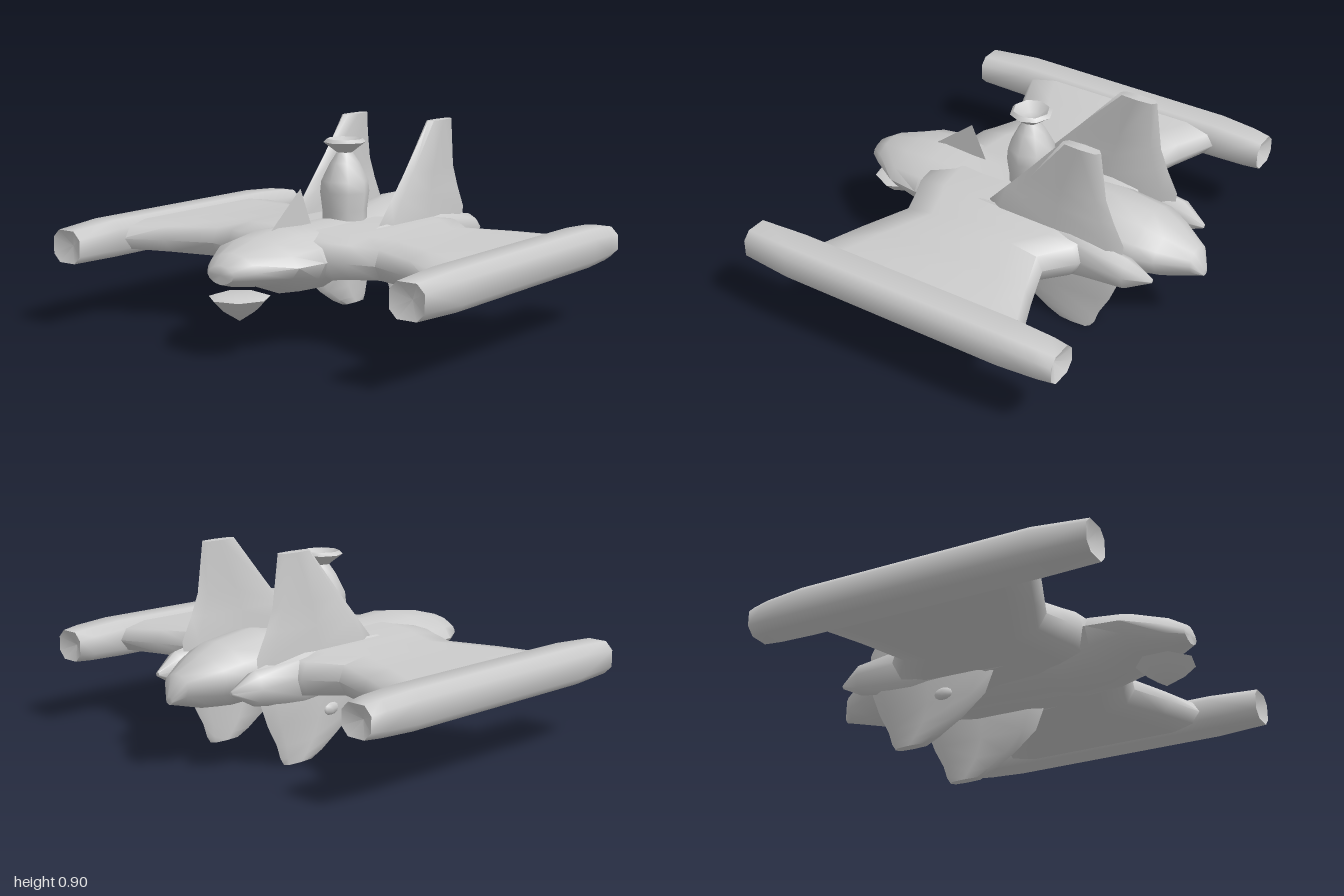
import * as THREE from 'three';
import { toCreasedNormals } from 'three/addons/utils/BufferGeometryUtils.js';

const grey = new THREE.MeshStandardMaterial({ color: 0xcccccc });

// Closed skin through rings of [x, y, z] points; end caps may be dished inwards along x
function loft(rings, dish = 0, crease = 1.1) {
  const n = rings[0].length, pos = rings.flat(2), idx = [];
  for (let r = 0; r < rings.length - 1; r++) {
    for (let i = 0; i < n; i++) {
      const a = r * n + i, b = r * n + (i + 1) % n;
      idx.push(a, b, a + n, b, b + n, a + n);
    }
  }
  [0, rings.length - 1].forEach((r, end) => {
    const c = [0, 1, 2].map(k => rings[r].reduce((s, p) => s + p[k], 0) / n);
    c[0] += end ? -dish : dish;
    const m = pos.length / 3;
    pos.push(...c);
    for (let i = 0; i < n; i++) {
      const a = r * n + i, b = r * n + (i + 1) % n;
      if (end) idx.push(a, b, m); else idx.push(b, a, m);
    }
  });
  // Turn the skin outwards if its volume comes out negative
  const v = i => new THREE.Vector3().fromArray(pos, i * 3);
  let volume = 0;
  for (let i = 0; i < idx.length; i += 3) volume += v(idx[i]).dot(v(idx[i + 1]).cross(v(idx[i + 2])));
  if (volume < 0) idx.reverse();
  const g = new THREE.BufferGeometry();
  g.setAttribute('position', new THREE.Float32BufferAttribute(pos, 3));
  g.setIndex(idx);
  return toCreasedNormals(g, crease);
}

// Ring across x: bottom, widest and top heights, half width, centre z.
// A power above 1 pulls the oval towards a diamond.
function hullRing([x, bottom, mid, top, w, cz = 0], n, power) {
  const bend = t => Math.sign(t) * Math.abs(t) ** power;
  return Array.from({ length: n }, (_, i) => {
    const a = (i / n) * Math.PI * 2, s = bend(Math.sin(a));
    return [x, mid + s * (s > 0 ? top - mid : mid - bottom), cz + w * bend(Math.cos(a))];
  });
}

// Flat ring across z for the wing
function wingRing([z, x0, x1, y0, y1], side) {
  const m = (y0 + y1) / 2, e = 0.02;
  return [[x0, m], [x0 + 0.03, y1 - e], [x0 + 0.16, y1], [x1 - 0.16, y1], [x1 - 0.03, y1 - e],
    [x1, m], [x1 - 0.04, y0 + e], [x1 - 0.16, y0], [x0 + 0.16, y0], [x0 + 0.04, y0 + e]]
    .map(([x, y]) => [x, y, side * z]);
}

// Lens-shaped ring across y for the tail fin
function finRing([y, x0, x1, t], side) {
  const e = (x1 - x0) * 0.1, m = (x0 + x1) / 2;
  return [[x0, 0], [x0 + e, t * 0.8], [m, t], [x1 - e, t * 0.8], [x1, 0],
    [x1 - e, -t * 0.8], [m, -t], [x0 + e, -t * 0.8]]
    .map(([x, z]) => [x, y, side * (0.235 + z)]);
}

// Chamfered box ring across x for the outer pod
function podRing([x, y0, y1, z0, z1], side) {
  const c = 0.035;
  return [[y0, z0 + c], [y0, z1 - c], [y0 + c, z1], [y1 - c, z1],
    [y1, z1 - c], [y1, z0 + c], [y1 - c, z0], [y0 + c, z0]].map(([y, z]) => [x, y, side * z]);
}

// Turned part from [radius, height] pairs
function turned(points, sides) {
  const profile = points.map(p => new THREE.Vector2(...p));
  return toCreasedNormals(new THREE.LatheGeometry(profile, sides), 0.9);
}

export function createModel() {
  const model = new THREE.Group();
  const add = (name, geometry) => {
    const mesh = new THREE.Mesh(geometry, grey);
    mesh.name = name;
    model.add(mesh);
    return mesh;
  };

  // Hull, nose towards -x
  add('fuselage', loft([
    [-0.85, 0.32, 0.36, 0.40, 0.07], [-0.78, 0.30, 0.37, 0.44, 0.13],
    [-0.63, 0.275, 0.38, 0.48, 0.23], [-0.48, 0.22, 0.38, 0.50, 0.25],
    [-0.32, 0.21, 0.38, 0.49, 0.25], [-0.20, 0.24, 0.39, 0.49, 0.25],
    [0.10, 0.25, 0.39, 0.49, 0.23], [0.40, 0.25, 0.40, 0.55, 0.21],
    [0.60, 0.24, 0.40, 0.52, 0.20], [0.69, 0.25, 0.39, 0.48, 0.16],
    [0.82, 0.285, 0.37, 0.42, 0.075], [0.86, 0.295, 0.31, 0.33, 0.02],
  ].map(s => hullRing(s, 12, 1.15))));

  for (const side of [1, -1]) {
    const label = side > 0 ? 'front' : 'back';

    // Waisted wing, rooted on the centre line inside the hull
    add(label + 'Wing', loft([
      [0, -0.50, 0.46, 0.26, 0.48], [0.25, -0.47, 0.44, 0.28, 0.475],
      [0.32, -0.44, 0.42, 0.285, 0.47], [0.44, -0.40, 0.32, 0.29, 0.46],
      [0.65, -0.49, 0.40, 0.30, 0.455], [0.84, -0.57, 0.48, 0.305, 0.445],
    ].map(s => wingRing(s, side))));

    // Long pod with dished ends
    add(label + 'Pod', loft([
      [-0.84, 0.30, 0.445, 0.82, 0.98], [-0.60, 0.295, 0.46, 0.82, 1.0],
      [0.45, 0.295, 0.46, 0.82, 1.0], [0.62, 0.30, 0.45, 0.82, 0.99],
      [0.70, 0.305, 0.44, 0.825, 0.98],
    ].map(s => podRing(s, side)), 0.04, 0.9));

    // Engine fairing at the fin root, ending in a spike
    add(label + 'Nacelle', loft([
      [-0.28, 0.35, 0.40, 0.45, 0.02, 0.27], [-0.10, 0.28, 0.39, 0.48, 0.05, 0.25],
      [0.35, 0.25, 0.38, 0.49, 0.055, 0.25], [0.62, 0.29, 0.37, 0.44, 0.055, 0.25],
      [0.73, 0.35, 0.36, 0.37, 0.01, 0.235],
    ].map(([x, b, m, t, w, z]) => hullRing([x, b, m, t, w, side * z], 8, 1))));

    // Upper and lower tail fin in one blade
    add(label + 'TailFin', loft([
      [0.00, 0.28, 0.44, 0.022], [0.03, 0.21, 0.46, 0.025], [0.09, 0.11, 0.48, 0.027],
      [0.18, 0.00, 0.53, 0.032], [0.28, -0.04, 0.57, 0.038], [0.48, -0.08, 0.59, 0.036],
      [0.58, 0.01, 0.54, 0.028], [0.68, 0.10, 0.50, 0.026], [0.90, 0.29, 0.47, 0.024],
    ].map(s => finRing(s, side))));

    // Small blister on the lower fin
    const blister = add(label + 'FinBlister', new THREE.SphereGeometry(1, 8, 6));
    blister.scale.set(0.05, 0.03, 0.02);
    blister.position.set(0.19, 0.205, side * 0.26);
  }

  // Mast with an open flared cup on the back of the hull
  add('mast', turned([[0.1, 0.45], [0.1, 0.52], [0.11, 0.6], [0.105, 0.65], [0.065, 0.73],
    [0.035, 0.775], [0.095, 0.82], [0.08, 0.835], [0.035, 0.8], [0, 0.795]], 8)).position.x = -0.015;

  // Pointed sensor dish hanging under the nose
  add('chinSensor', turned([[0, 0.15], [0.08, 0.2], [0.13, 0.25], [0.1, 0.26], [0, 0.26]], 7)).position.x = -0.735;

  // Thin blade ahead of the mast, skinned on one side
  const blade = new THREE.Shape([[-0.56, 0.46], [-0.24, 0.46], [-0.26, 0.49], [-0.33, 0.65], [-0.52, 0.5]]
    .map(p => new THREE.Vector2(...p)));
  add('foreBlade', new THREE.ShapeGeometry(blade));

  return model;
}
